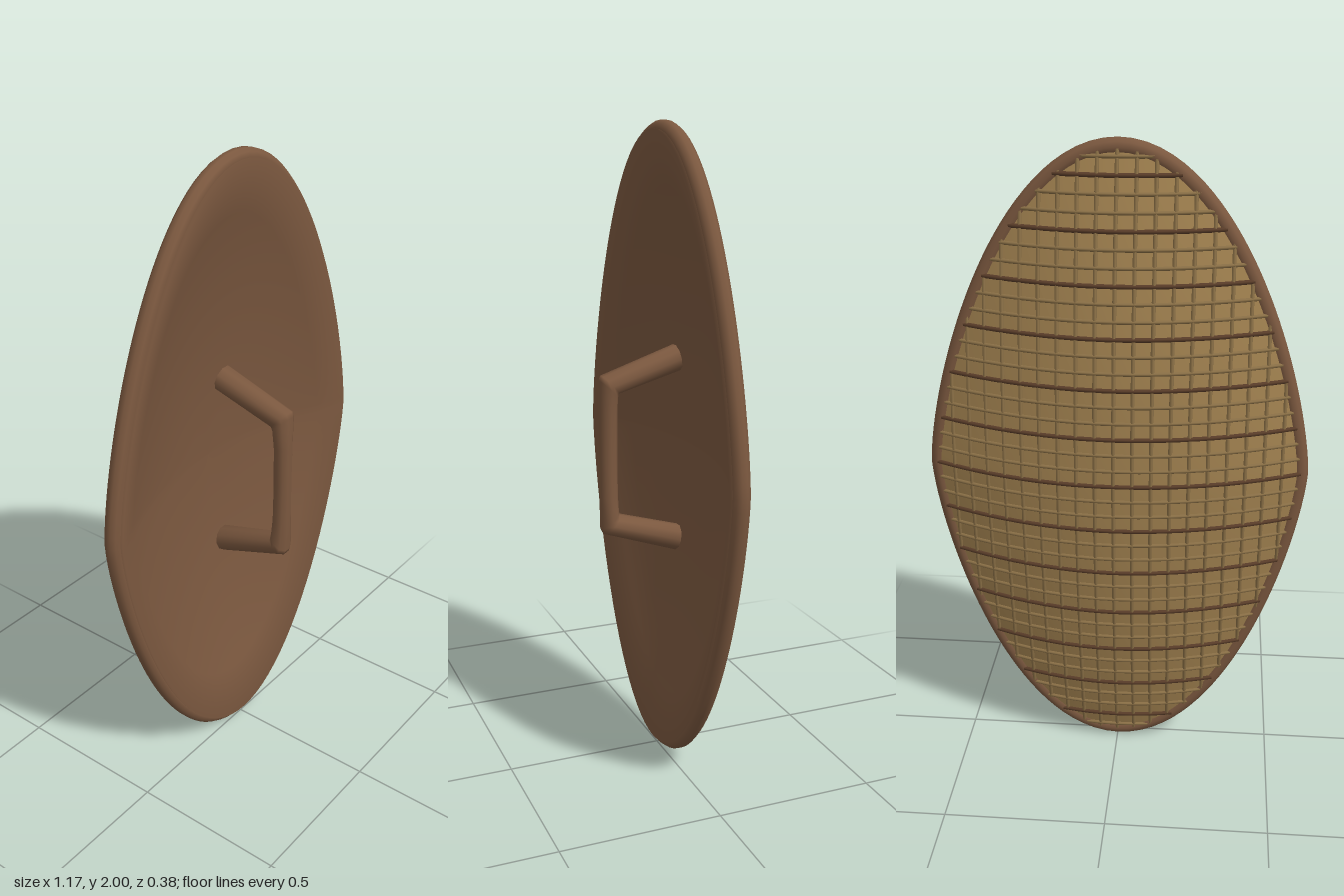
import * as THREE from 'three';

const A = 0.562, B = 0.974, P = 1.42;   // half width, half height and roundness of the outline

// Outline point: rounded at top and bottom, slightly pointed at the sides
function outline(t, s = 1) {
  const c = Math.cos(t), n = Math.sin(t);
  return [A * s * c, 1 + B * s * Math.sign(n) * Math.abs(n) ** (2 / P)];
}

// Distance from the middle as a fraction of the outline (0 centre, 1 edge)
function fraction(x, y) {
  const u = Math.abs(x) / A, v = Math.abs(y - 1) / B;
  let lo = 0, hi = 1.5;
  for (let i = 0; i < 30; i++) {
    const r = (lo + hi) / 2;
    if ((u / r) ** 2 + (v / r) ** P > 1) lo = r; else hi = r;
  }
  return hi;
}
const domeZ = r => -0.183 + 0.145 * r * r;

// Surface through rings of equal point count
function loft(rings) {
  const n = rings[0].length, pos = rings.flat(2), idx = [];
  for (let i = 0; i < rings.length - 1; i++)
    for (let j = 0; j < n; j++) {
      const a = i * n + j, b = i * n + (j + 1) % n;
      idx.push(a, b, a + n, b, b + n, a + n);
    }
  const g = new THREE.BufferGeometry();
  g.setAttribute('position', new THREE.Float32BufferAttribute(pos, 3));
  g.setIndex(idx);
  g.computeVertexNormals();
  return g;
}

// Bowl made of scaled outlines, from [scale, z] pairs
function bowl(profile) {
  return loft(profile.map(([s, z]) => Array.from({ length: 96 }, (_, j) =>
    [...outline(j / 96 * Math.PI * 2, s), z])));
}

// Profile of the dome from edge to centre, moved forward by a thickness
const domeProfile = (steps, forward) => Array.from({ length: steps + 1 }, (_, i) => {
  const r = Math.max(1 - i / steps, 0.0001);
  return [r, domeZ(r) + forward];
});

export function createModel() {
  const group = new THREE.Group();
  const mat = (name, color) => {
    const m = new THREE.MeshStandardMaterial({ color, side: THREE.DoubleSide });
    m.name = name;
    return m;
  };
  const wood = mat('brown wood', 0x7b583f);
  const tan = mat('tan wicker', 0xa28250);
  const straw = mat('dull straw', 0x8c7147);
  const cord = mat('dark cord', 0x5a3d29);
  const add = (name, geometry, material, parent = group) => {
    const m = new THREE.Mesh(geometry, material);
    m.name = name;
    parent.add(m);
    return m;
  };

  // Rim tube around the edge
  const rimPath = new THREE.CatmullRomCurve3(Array.from({ length: 64 }, (_, i) =>
    new THREE.Vector3(...outline(Math.PI / 2 + i / 64 * Math.PI * 2), -0.02)), true);
  add('rim', new THREE.TubeGeometry(rimPath, 128, 0.026, 10, true), wood);

  // Hollow wooden lining, parallel to the dome, with a softly rounded lip
  add('lining', bowl([[1, -0.038], ...domeProfile(6, 0.053)]), wood);

  // Wicker dome on the back
  add('wickerDome', bowl(domeProfile(16, 0)), tan);

  // Woven strands that follow the dome
  const weave = new THREE.Group();
  weave.name = 'weave';
  group.add(weave);
  const strand = (name, from, to, radius, material, lift) => {
    const start = new THREE.Vector2(...from), end = new THREE.Vector2(...to);
    const count = Math.max(6, Math.ceil(start.distanceTo(end) / 0.05));
    const path = new THREE.CatmullRomCurve3(Array.from({ length: count + 1 }, (_, i) => {
      const p = start.clone().lerp(end, i / count);
      return new THREE.Vector3(p.x, p.y, domeZ(fraction(p.x, p.y)) - lift);
    }));
    add(name, new THREE.TubeGeometry(path, count, radius, 6), material, weave);
  };
  for (let i = -9; i <= 9; i++) {
    const x = i * 0.056, h = B * (1 - (x / A) ** 2) ** (1 / P);
    strand('uprightStrand', [x, 1 - h], [x, 1 + h], 0.006, straw, 0.001);
  }
  for (let i = -19; i <= 19; i++) {
    const v = i * 0.05, w = A * Math.sqrt(1 - Math.abs(v / B) ** P);
    const dark = i % 3 === 0;
    strand(dark ? 'darkCord' : 'crossStrand', [-w, 1 + v], [w, 1 + v],
      dark ? 0.007 : 0.006, dark ? cord : straw, 0.002);
  }

  // Handle: sections as outer y, outer z, inner y, inner z, half width, with capped ends
  const half = [
    [0.291, -0.066, 0.291, -0.066, 0.0001],
    [0.332, -0.058, 0.25, -0.074, 0.042],
    [0.25, 0.182, 0.192, 0.128, 0.041],
    [0.235, 0.188, 0.18, 0.131, 0.039],
    [0.13, 0.19, 0.13, 0.133, 0.031],
    [0, 0.19, 0, 0.134, 0.029],
  ];
  const sections = [...half, ...half.slice(0, -1).reverse().map(([a, b, c, d, w]) => [-a, b, -c, d, w])];
  add('handle', loft(sections.map(([yo, zo, yi, zi, w]) => Array.from({ length: 10 }, (_, j) => {
    const a = j / 10 * Math.PI * 2, k = (1 + Math.sin(a)) / 2;
    return [w * Math.cos(a), 1 + yi + (yo - yi) * k, zi + (zo - zi) * k];
  }))), wood);

  return group;
}
